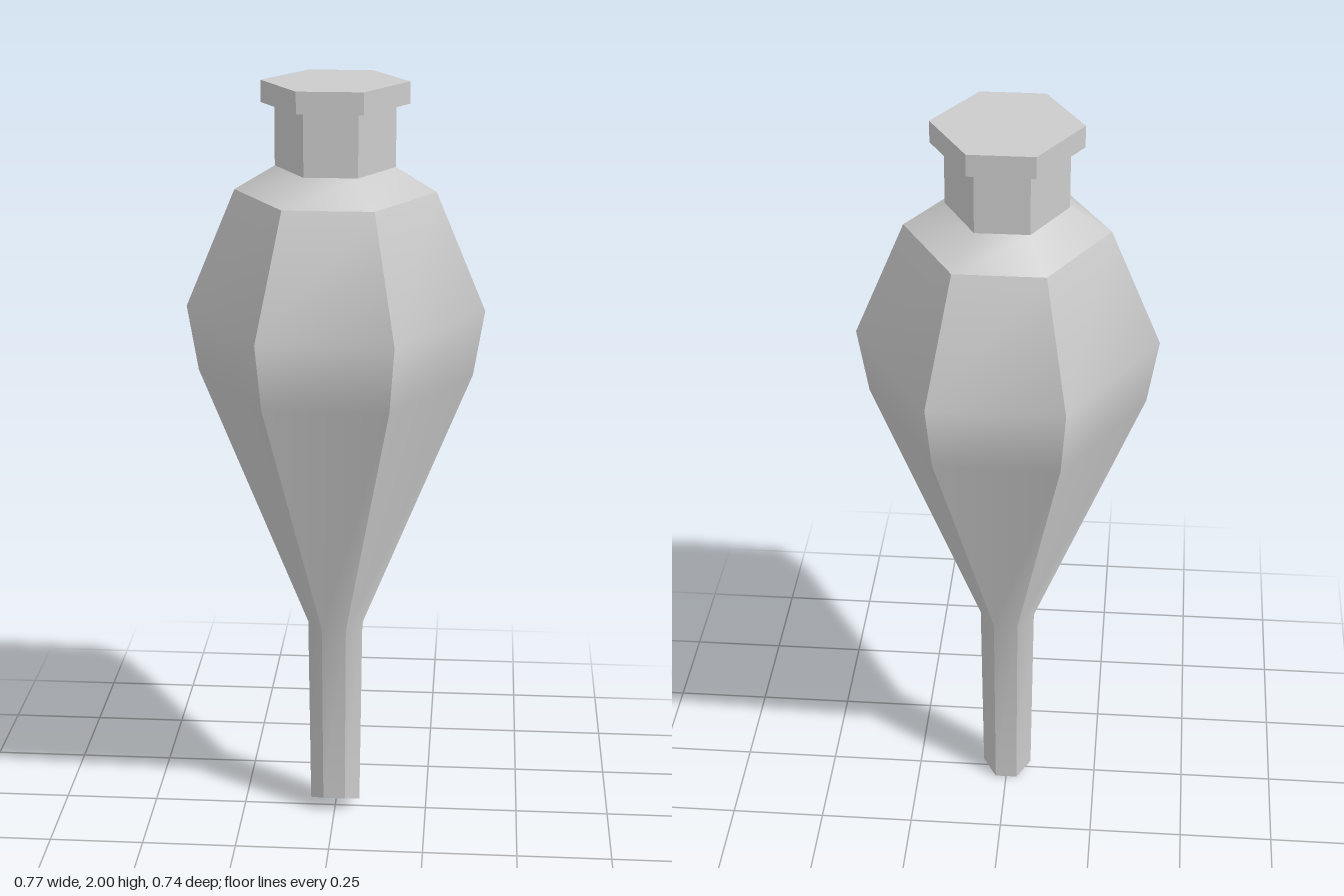
import * as THREE from 'three';
import { toCreasedNormals } from 'three/addons/utils/BufferGeometryUtils.js';

// Slightly squared hexagon, counter-clockwise from above: [x, z] factors
const HEX = [[1, 0], [0.44, -1], [-0.44, -1], [-1, 0], [-0.44, 1], [0.44, 1]];

// Lofts hexagonal rings [halfWidth, halfDepth, y, slope]; slope tilts a ring front to back
function hexLoft(name, rings, material) {
  const corner = ([w, d, y, slope = 0], i) => {
    const [x, z] = HEX[i % 6];
    return new THREE.Vector3(x * w, y + slope * z * d, z * d);
  };
  const pos = [];
  const face = (...pts) => pts.forEach((p) => pos.push(p.x, p.y, p.z));
  for (let r = 0; r < rings.length - 1; r++) {
    const [lo, hi] = [rings[r], rings[r + 1]];
    for (let i = 0; i < 6; i++) {
      const a = corner(lo, i), b = corner(lo, i + 1);
      const c = corner(hi, i + 1), d = corner(hi, i);
      if (lo[0] > 0) face(a, b, c);
      if (hi[0] > 0) face(a, c, d);
    }
  }
  const geometry = new THREE.BufferGeometry();
  geometry.setAttribute('position', new THREE.Float32BufferAttribute(pos, 3));
  const mesh = new THREE.Mesh(toCreasedNormals(geometry, 0.7), material);
  mesh.name = name;
  return mesh;
}

export function createModel() {
  const group = new THREE.Group();
  group.name = 'hexagonalFlask';
  const grey = new THREE.MeshStandardMaterial({ color: 0xcccccc });

  group.add(
    // Bulb tapering to a hollow spout with a slanted tip
    hexLoft('body', [
      [0, 0, 0.3],
      [0.038, 0.028, 0.3],
      [0.038, 0.028, 0.022, 0.48],
      [0.067, 0.046, 0.022, 0.48],
      [0.073, 0.056, 0.55],
      [0.355, 0.345, 1.25],
      [0.383, 0.37, 1.42],
      [0.255, 0.248, 1.725],
    ], grey),
    // Sloping shoulder
    hexLoft('shoulder', [
      [0.255, 0.248, 1.725],
      [0.152, 0.155, 1.787],
    ], grey),
    // Straight neck
    hexLoft('neck', [
      [0.152, 0.155, 1.787],
      [0.152, 0.155, 1.945],
    ], grey),
    // Flat overhanging cap
    hexLoft('cap', [
      [0, 0, 1.945],
      [0.186, 0.182, 1.945],
      [0.186, 0.182, 2],
      [0, 0, 2],
    ], grey),
  );
  return group;
}
